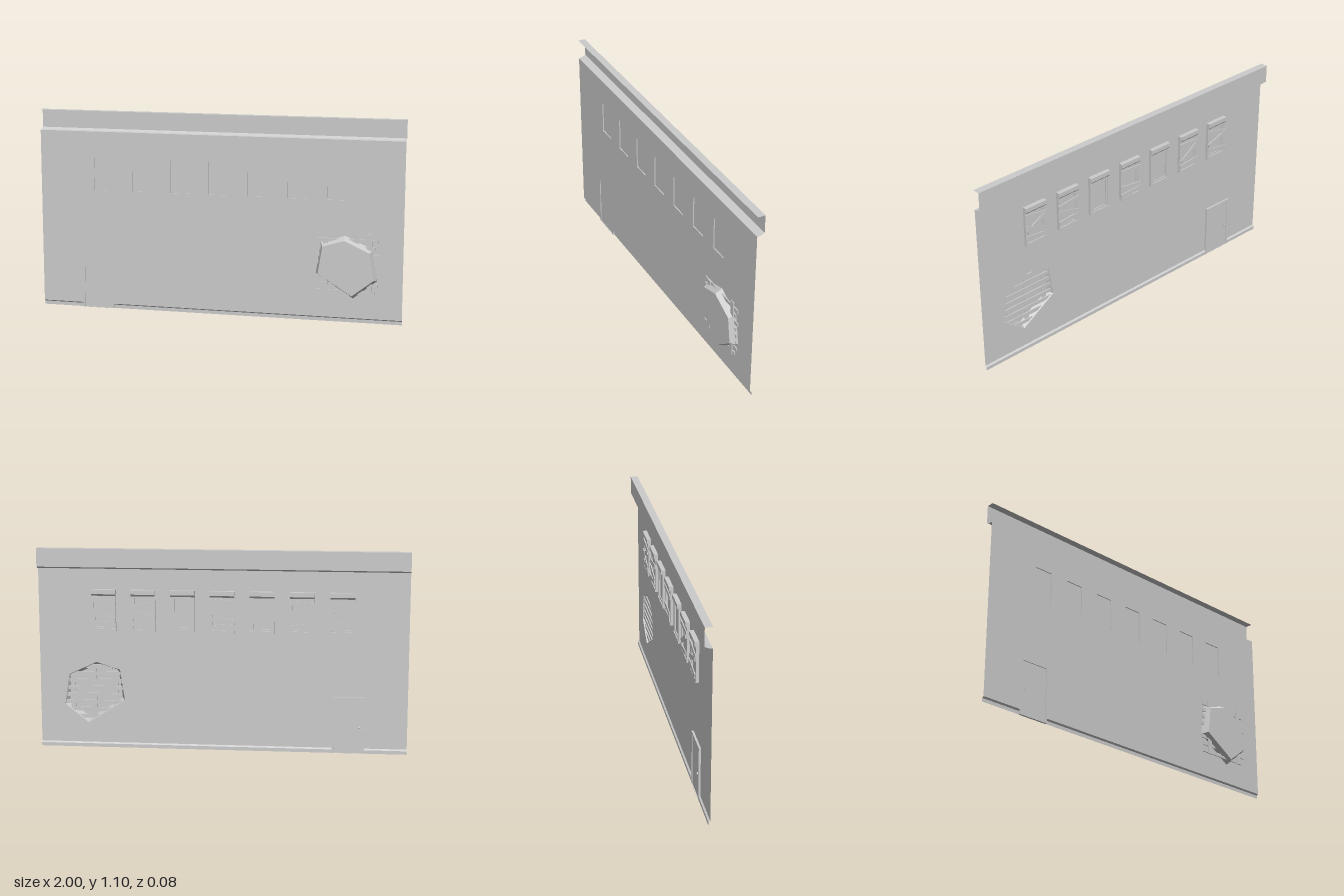
import * as THREE from 'three';

const mat = new THREE.MeshStandardMaterial({ color: 0xcccccc, flatShading: true, side: THREE.DoubleSide });

function add(parent, name, geo, x = 0, y = 0, z = 0, rz = 0) {
  const m = new THREE.Mesh(geo, mat);
  m.name = name;
  m.position.set(x, y, z);
  m.rotation.z = rz;
  parent.add(m);
  return m;
}
const box = (w, h, d) => new THREE.BoxGeometry(w, h, d);
const vecs = (pts) => pts.map(([x, y]) => new THREE.Vector2(x, y));
const rect = (x0, y0, x1, y1) => vecs([[x0, y0], [x1, y0], [x1, y1], [x0, y1]]);

// Flat ring of outer outline minus inner outline, extruded from zBack to zFront
function ring(outer, inner, zBack, zFront) {
  const s = new THREE.Shape(outer);
  s.holes.push(new THREE.Path(inner));
  const g = new THREE.ExtrudeGeometry(s, { depth: zFront - zBack, bevelEnabled: false });
  return g.translate(0, 0, zBack);
}

// Sheet joining two equally long rows of 3D points
function sheet(a, b, closed = false) {
  const pos = [];
  const n = closed ? a.length : a.length - 1;
  for (let i = 0; i < n; i++) {
    const j = (i + 1) % a.length;
    for (const p of [a[i], b[i], b[j], a[i], b[j], a[j]]) pos.push(...p);
  }
  const g = new THREE.BufferGeometry();
  g.setAttribute('position', new THREE.Float32BufferAttribute(pos, 3));
  g.computeVertexNormals();
  return g;
}
// Moulding: open (z, y) profile swept along x
const moulding = (profile, x0, x1) =>
  sheet(profile.map(([z, y]) => [x1, y, z]), profile.map(([z, y]) => [x0, y, z]));

const DOOR = { x0: -0.77, x1: -0.595, top: 0.31 };
const HEX = [[0.84, 0.405], [0.69, 0.475], [0.56, 0.435], [0.535, 0.265], [0.737, 0.135], [0.866, 0.238]];

// Boards nailed over each window, from -x to +x: [height offset, tilt]
const BOARDS = [
  [[0.05, 0.2], [0.005, -0.35], [-0.055, 0.15]],
  [[0.06, 0.05], [0.0, -0.6], [-0.06, -0.1]],
  [],
  [[0.065, 0.08], [-0.035, 0.12], [-0.07, -0.08]],
  [],
  [[0.04, -0.12], [-0.015, 0.25], [-0.055, -0.1]],
  [[0.06, 0.15], [0.01, -0.5], [-0.02, 0.4], [-0.065, 0.1]],
];
const windowX = (i) => (i - 3) * 0.2143;

function makeWindow(boards) {
  const g = new THREE.Group();
  g.name = 'window';
  add(g, 'windowFrame', ring(rect(-0.066, -0.1, 0.066, 0.1), rect(-0.053, -0.09, 0.053, 0.09), -0.016, 0));
  // inner sash stands behind the pane
  add(g, 'windowSash', ring(rect(-0.053, -0.09, 0.053, 0.09), rect(-0.044, -0.08, 0.044, 0.08), -0.012, -0.007));
  add(g, 'windowPane', new THREE.PlaneGeometry(0.106, 0.18), 0, 0, -0.006);
  add(g, 'windowLintel', moulding([[0, 0.122], [-0.024, 0.122], [-0.024, 0.098], [-0.016, 0.088]], -0.066, 0.066));
  for (const x of [-0.066, 0.066])
    add(g, 'lintelEnd', new THREE.PlaneGeometry(0.024, 0.024).rotateY(Math.PI / 2), x, 0.11, -0.012);
  add(g, 'windowSill', box(0.132, 0.014, 0.018), 0, -0.098, -0.009);
  boards.forEach(([y, tilt], k) =>
    add(g, 'windowBoard', box(0.135, 0.024, 0.005), 0, y, -0.0185 - 0.0015 * (k % 3), tilt));
  return g;
}

function makeDoor() {
  const g = new THREE.Group();
  g.name = 'door';
  const { x0, x1, top } = DOOR;
  add(g, 'doorFrame', ring(rect(x0, 0, x1, top), rect(x0 + 0.01, 0.001, x1 - 0.01, top - 0.015), -0.011, 0));
  add(g, 'doorPanel', box(x1 - x0 - 0.02, top - 0.015, 0.002), (x0 + x1) / 2, (top - 0.015) / 2, -0.006);
  add(g, 'doorKnob', new THREE.SphereGeometry(0.006, 10, 8), x0 + 0.028, 0.145, -0.01);
  return g;
}

function makeBay() {
  const g = new THREE.Group();
  g.name = 'bay';
  // tapered six-sided shell, open to the wall behind
  const small = HEX.map(([x, y]) => [0.7 + (x - 0.7) * 0.9, 0.305 + (y - 0.305) * 0.88]);
  add(g, 'baySides', sheet(HEX.map(([x, y]) => [x, y, 0]), small.map(([x, y]) => [x, y, 0.04]), true));
  add(g, 'bayFace', new THREE.ShapeGeometry(new THREE.Shape(vecs(small))), 0, 0, 0.04);
  // lattice of slats
  for (let i = 0; i < 8; i++)
    add(g, 'crossSlat', box(0.315 + 0.012 * (i % 3), 0.02, 0.006), 0.7 + 0.006 * ((i % 2) * 2 - 1), 0.17 + i * 0.04, 0.01);
  [[0.587, 0.31], [0.705, 0.285], [0.823, 0.335]].forEach(([x, h]) =>
    add(g, 'uprightSlat', box(0.026, h, 0.006), x, 0.155 + h / 2, 0.016));
  return g;
}

export function createModel() {
  const model = new THREE.Group();
  model.name = 'facade';

  // Wall sheet with openings
  const { x0, x1, top } = DOOR;
  const wall = new THREE.Shape(vecs([[-1, 0.026], [x0, 0.026], [x0, top], [x1, top], [x1, 0.026],
    [1, 0.026], [1, 0.988], [-1, 0.988]]));
  for (let i = 0; i < 7; i++) {
    const x = windowX(i);
    wall.holes.push(new THREE.Path(rect(x - 0.053, 0.665, x + 0.053, 0.845)));
  }
  wall.holes.push(new THREE.Path(vecs(HEX)));
  add(model, 'wall', new THREE.ShapeGeometry(wall));

  // Cornice and baseboard
  add(model, 'cornice', moulding([[0, 0.988], [-0.02, 0.991], [-0.04, 1.0], [-0.04, 1.1], [0, 1.1]], -1, 1));
  for (const [a, b] of [[-1, x0], [x1, 1]])
    add(model, 'baseboard', moulding([[-0.009, 0], [-0.009, 0.019], [0, 0.026]], a, b));

  BOARDS.forEach((boards, i) => {
    const w = makeWindow(boards);
    w.position.set(windowX(i), 0.755, 0);
    model.add(w);
  });
  model.add(makeDoor(), makeBay());
  return model;
}
